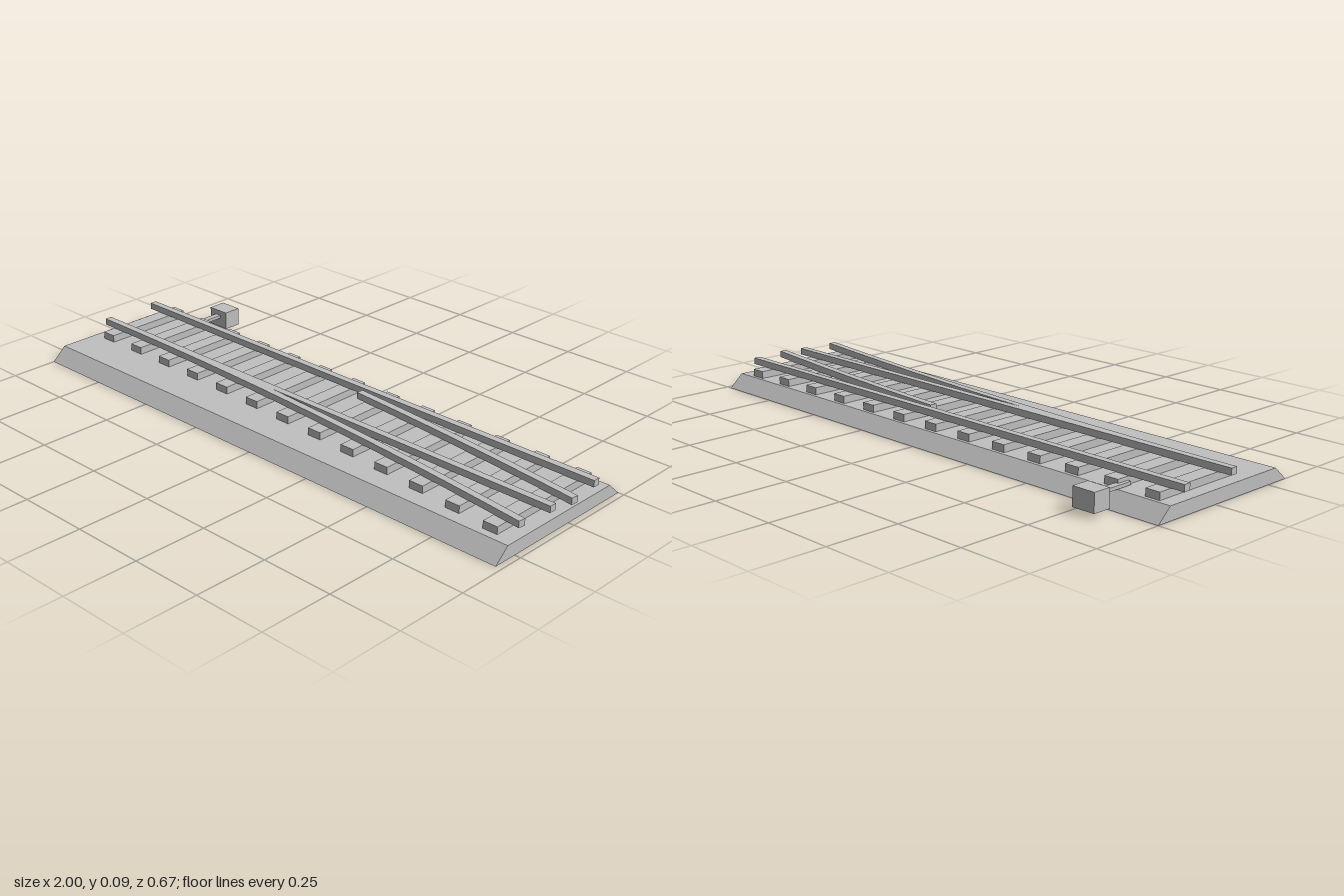
import * as THREE from 'three';

const START = -1, END = 0.98;        // track ends along x
const MID = -0.0235, HALF = 0.1055;  // track centre line and half gauge
const RADIUS = 15.23, SWEEP = 0.1306; // diverging curve
const RAIL_W = 0.0245, BED = 0.045, TIE_TOP = 0.07, RAIL_TOP = 0.0925;

export function createModel() {
  const model = new THREE.Group();
  model.name = 'railSwitch';
  const grey = new THREE.MeshStandardMaterial({ color: 0xc0c0c0, flatShading: true });
  grey.name = 'plain grey';

  const add = (name, geometry) => {
    const mesh = new THREE.Mesh(geometry, grey);
    mesh.name = name;
    model.add(mesh);
  };
  // Box given by its limits on each axis
  const box = (name, x0, x1, y0, y1, z0, z1) => {
    const g = new THREE.BoxGeometry(x1 - x0, y1 - y0, z1 - z0);
    g.translate((x0 + x1) / 2, (y0 + y1) / 2, (z0 + z1) / 2);
    add(name, g);
  };

  // Ballast bed: trapezoid section (drawn with -z to the right) swept along x
  const section = new THREE.Shape([[-0.335, 0], [0.25, 0], [0.2, BED], [-0.284, BED]]
    .map(([a, b]) => new THREE.Vector2(a, b)));
  const bed = new THREE.ExtrudeGeometry(section, { depth: END - START, bevelEnabled: false });
  bed.rotateY(Math.PI / 2).translate(START, 0, 0);
  add('ballastBed', bed);

  // Sleepers, growing longer toward the diverging side
  for (let i = 0; i < 13; i++) {
    const x = -0.926 + i * 0.1518;
    const grow = 0.126 * ((x - START) / 1.97) ** 2;
    box('sleeper', x - 0.026, x + 0.026, BED, TIE_TOP, -0.188, 0.141 + grow);
  }

  // Straight rails
  for (const side of [-1, 1]) {
    const z = MID + side * HALF;
    box('straightRail', START, END, TIE_TOP, RAIL_TOP, z - RAIL_W / 2, z + RAIL_W / 2);
  }

  // Diverging rails: arc bands drawn in plan and extruded to rail height
  const curvedRail = (name, radius, from) => {
    const a0 = -Math.PI / 2 + from, a1 = -Math.PI / 2 + SWEEP;
    const cz = MID + RADIUS;
    const plan = new THREE.Shape();
    plan.absarc(START, cz, radius + RAIL_W / 2, a0, a1, false);
    plan.absarc(START, cz, radius - RAIL_W / 2, a1, a0, true);
    plan.closePath();
    const g = new THREE.ExtrudeGeometry(plan, {
      depth: RAIL_TOP - TIE_TOP, bevelEnabled: false, curveSegments: 16,
    });
    g.rotateX(Math.PI / 2).translate(0, RAIL_TOP, 0);
    add(name, g);
  };
  curvedRail('outerDivergingRail', RADIUS - HALF, 0);
  curvedRail('innerDivergingRail', RADIUS + HALF, 1.077 / (RADIUS + HALF));

  // Switch motor and its rod
  box('switchMotor', -0.841, -0.759, 0.013, 0.076, -0.333, -0.27);
  box('switchRod', -0.812, -0.79, 0.047, 0.058, -0.27, -0.145);

  return model;
}
